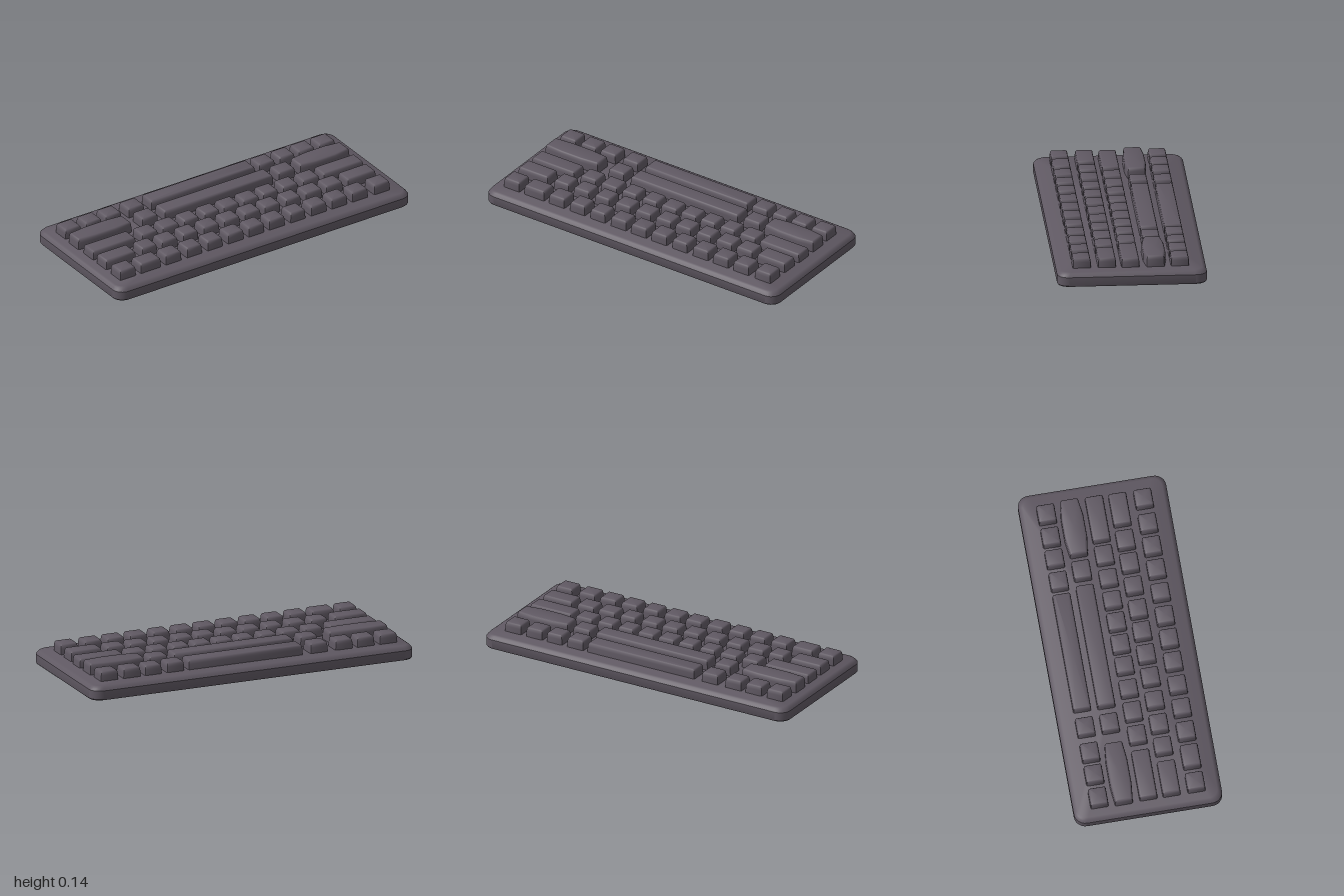
import * as THREE from 'three';
import { toCreasedNormals } from 'three/addons/utils/BufferGeometryUtils.js';

const charcoal = new THREE.MeshStandardMaterial({ color: 0x5f5862 });
charcoal.name = 'charcoal plastic';

// Rounded rectangle outline, inset on all sides; bulge widens the middle in z
function outline(w, d, r, inset, steps, bulge) {
  const hw = w / 2 - inset, hd = d / 2 - inset;
  const rad = Math.max(r - inset * 0.5, 0.002);
  const pts = [];
  for (let c = 0; c < 4; c++) {
    const sx = c === 0 || c === 3 ? 1 : -1;
    const sz = c < 2 ? 1 : -1;
    for (let i = 0; i <= steps; i++) {
      const a = (c + i / steps) * Math.PI / 2;
      pts.push([sx * (hw - rad) + rad * Math.cos(a), sz * (hd - rad) + rad * Math.sin(a)]);
    }
    // extra points along the long edges carry the bulge
    if (bulge && c % 2 === 0) {
      for (const t of [0.4, -0.4]) pts.push([sx * t * hw, sz * (hd + bulge)]);
    }
  }
  return pts;
}

// Closed solid through rings given as [height, inset]
function loft(w, d, r, rings, steps = 3, bulge = 0, crease = 0.6) {
  const pos = [], idx = [];
  let n = 0;
  for (const [y, inset] of rings) {
    const pts = outline(w, d, r, inset, steps, bulge);
    n = pts.length;
    for (const [x, z] of pts) pos.push(x, y, z);
  }
  for (let k = 0; k < rings.length - 1; k++) {
    for (let i = 0; i < n; i++) {
      const j = (i + 1) % n, a = k * n, b = a + n;
      idx.push(a + i, b + i, a + j, a + j, b + i, b + j);
    }
  }
  const low = pos.length / 3, high = low + 1, last = (rings.length - 1) * n;
  pos.push(0, rings[0][0], 0, 0, rings[rings.length - 1][0], 0);
  for (let i = 0; i < n; i++) {
    const j = (i + 1) % n;
    idx.push(low, i, j, high, last + j, last + i);
  }
  const g = new THREE.BufferGeometry();
  g.setAttribute('position', new THREE.Float32BufferAttribute(pos, 3));
  g.setIndex(idx);
  return toCreasedNormals(g, crease);
}

// Key rows from front to back: centre z, depth, top height, [left, right] x of each key
const ROWS = [
  { name: 'frontRow', z: 0.282, d: 0.104, top: 0.139, keys: [
    [-0.93, -0.82], [-0.79, -0.65], [-0.62, -0.51], [-0.475, -0.37], [-0.335, -0.23],
    [-0.195, -0.085], [-0.055, 0.055], [0.085, 0.195], [0.23, 0.335], [0.37, 0.48],
    [0.51, 0.62], [0.65, 0.76], [0.80, 0.91]] },
  { name: 'secondRow', z: 0.139, d: 0.104, top: 0.138, keys: [
    [-0.93, -0.725], [-0.685, -0.58], [-0.55, -0.44], [-0.405, -0.30], [-0.265, -0.155],
    [-0.125, -0.015], [0.015, 0.125], [0.15, 0.26], [0.295, 0.40], [0.43, 0.545],
    [0.57, 0.685], [0.715, 0.91]] },
  { name: 'middleRow', z: 0.006, d: 0.104, top: 0.134, keys: [
    [-0.93, -0.635], [-0.595, -0.485], [-0.455, -0.34], [-0.31, -0.205], [-0.17, -0.065],
    [-0.04, 0.07], [0.095, 0.205], [0.23, 0.335], [0.365, 0.47], [0.50, 0.615],
    [0.64, 0.915]] },
  { name: 'fourthRow', z: -0.136, d: 0.104, top: 0.139, keys: [
    [-0.935, -0.57, 0.01], [-0.50, -0.39], [-0.348, 0.395], [0.43, 0.545],
    [0.575, 0.915, 0.013]] },
  { name: 'backRow', z: -0.275, d: 0.104, top: 0.137, keys: [
    [-0.93, -0.82], [-0.79, -0.68], [-0.655, -0.545], [-0.50, -0.39], [-0.345, 0.365],
    [0.39, 0.50], [0.53, 0.635], [0.66, 0.77], [0.80, 0.91]] },
];

export function createModel() {
  const model = new THREE.Group();
  model.name = 'keyboard';

  // Case: upright sides with a softly rounded upper edge
  const caseRings = [[0, 0.004], [0.006, 0], [0.056, 0], [0.066, 0.007], [0.074, 0.014], [0.08, 0.025]];
  const body = new THREE.Mesh(loft(2, 0.85, 0.065, caseRings, 6), charcoal);
  body.name = 'case';
  model.add(body);

  // Keycaps: near-vertical walls, bevelled shoulder, flat top
  for (const row of ROWS) {
    const group = new THREE.Group();
    group.name = row.name;
    row.keys.forEach(([x0, x1, bulge = 0], i) => {
      const top = row.top + (bulge ? 0.006 : 0);
      const rings = [[0.07, 0], [top - 0.024, 0.001], [top - 0.009, 0.004], [top - 0.002, 0.009], [top, 0.014]];
      const key = new THREE.Mesh(loft(x1 - x0, row.d, 0.009, rings, 2, bulge, 0.75), charcoal);
      key.name = `key${i + 1}`;
      key.position.set((x0 + x1) / 2, 0, row.z);
      group.add(key);
    });
    model.add(group);
  }
  return model;
}
